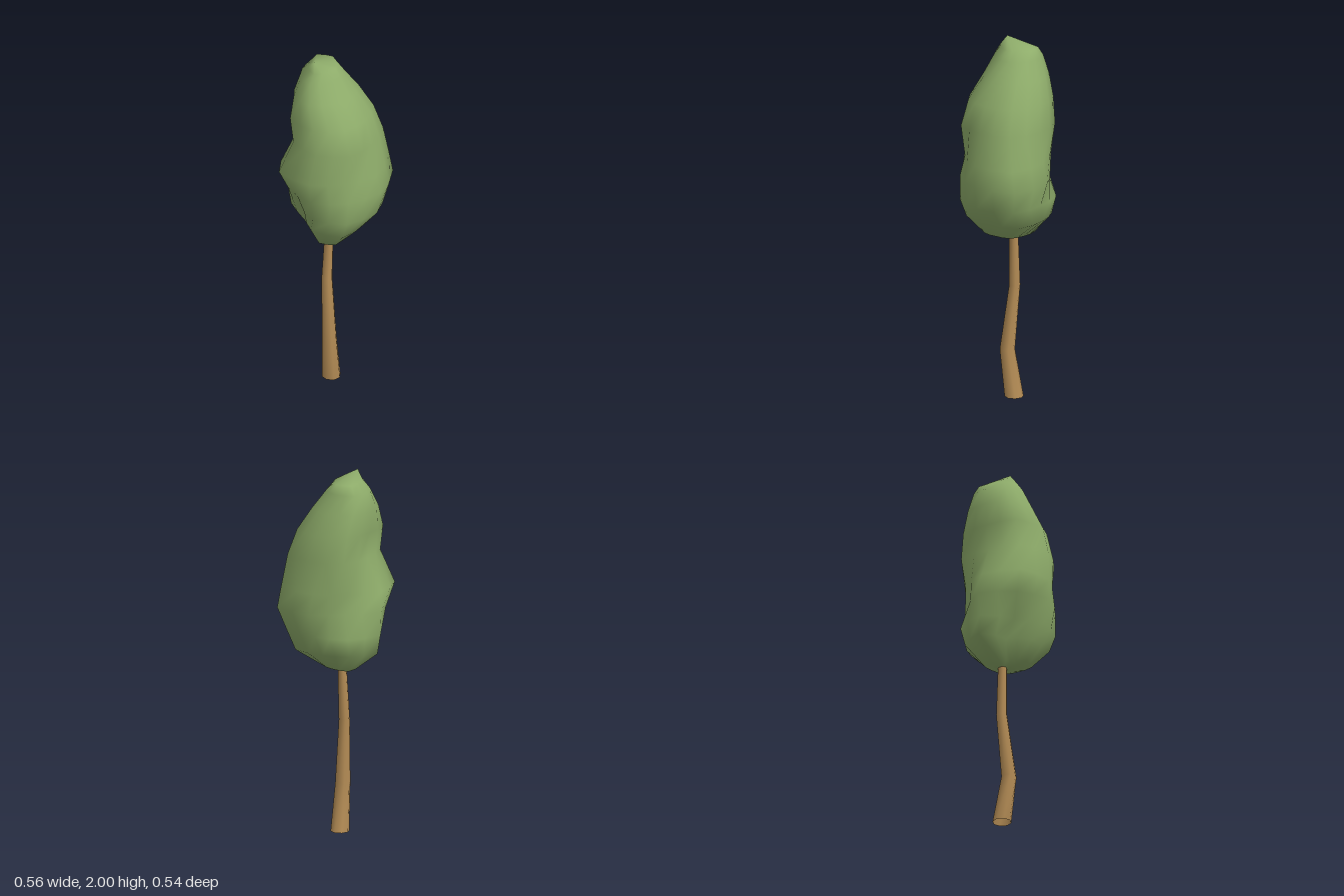
import * as THREE from 'three';

// Skin over a stack of point rings; an end with a tip is fanned shut, otherwise left open.
function loft(rings, bottom, top) {
  const sides = rings[0].length;
  const pos = [...rings.flat(2), ...(bottom ?? []), ...(top ?? [])];
  const low = rings.length * sides;
  const last = low - sides;
  const index = [];
  for (let i = 0; i < sides; i++) {
    const j = (i + 1) % sides;
    for (let a = i, b = j; a < last; a += sides, b += sides) {
      index.push(a, a + sides, b, b, a + sides, b + sides);
    }
    if (bottom) index.push(low, i, j);
    if (top) index.push(low + 1, last + j, last + i);
  }
  const geo = new THREE.BufferGeometry();
  geo.setAttribute('position', new THREE.Float32BufferAttribute(pos, 3));
  geo.setIndex(index);
  geo.computeVertexNormals();
  return geo;
}

// Ring of points around (cx, cz), evenly spaced, one radius per point.
const ring = (y, cx, cz, radii) =>
  radii.map((r, i) => {
    const a = (i / radii.length) * Math.PI * 2;
    return [cx + r * Math.cos(a), y, cz + r * Math.sin(a)];
  });

// Crown ring from its reach in eight directions, starting at +x and turning to +z.
function crownRing([y, ...reach]) {
  const cx = (reach[0] - reach[4]) / 2;
  const cz = (reach[2] - reach[6]) / 2;
  const radii = reach.map((d, i) => {
    const a = (i * Math.PI) / 4;
    return d - cx * Math.cos(a) - cz * Math.sin(a);
  });
  // a slightly sunken point between each pair of directions
  return ring(y, cx, cz, radii.flatMap((r, i) => [r, 0.485 * (r + radii[(i + 1) % 8])]));
}

export function createModel() {
  const group = new THREE.Group();
  group.name = 'tree';
  const bark = new THREE.MeshStandardMaterial({ color: 0xb58d56, side: THREE.DoubleSide });
  bark.name = 'bark brown';
  const leaf = new THREE.MeshStandardMaterial({ color: 0x8eac6a });
  leaf.name = 'leaf green';

  // Crooked, tapering open trunk: y, x, z, radius
  const trunkRings = [
    [0, -0.03, -0.02, 0.051],
    [0.26, -0.021, 0.019, 0.041],
    [0.62, -0.05, -0.008, 0.03],
    [0.94, -0.037, -0.011, 0.024],
  ].map(([y, x, z, r]) => ring(y, x, z, Array(8).fill(r)));
  const trunk = new THREE.Mesh(loft(trunkRings), bark);
  trunk.name = 'trunk';

  // Lumpy upright crown, pinched on one side below its leaning tip:
  // y, then reach to +x, +x+z, +z, -x+z, -x, -x-z, -z, +x-z
  const crownRings = [
    [0.915, 0.07, 0.12, 0.13, 0.08, 0.12, 0.15, 0.09, 0.08],
    [1.02, 0.18, 0.22, 0.185, 0.14, 0.268, 0.24, 0.205, 0.235],
    [1.12, 0.26, 0.256, 0.232, 0.185, 0.277, 0.262, 0.222, 0.275],
    [1.25, 0.28, 0.257, 0.268, 0.26, 0.285, 0.215, 0.27, 0.328],
    [1.36, 0.26, 0.228, 0.272, 0.312, 0.276, 0.235, 0.24, 0.306],
    [1.54, 0.228, 0.252, 0.247, 0.235, 0.192, 0.254, 0.24, 0.268],
    [1.68, 0.19, 0.21, 0.23, 0.247, 0.207, 0.247, 0.222, 0.22],
    [1.8, 0.11, 0.12, 0.187, 0.217, 0.22, 0.228, 0.172, 0.147],
    [1.9, 0.044, 0.06, 0.143, 0.17, 0.192, 0.198, 0.128, 0.072],
    [1.95, 0.006, 0.025, 0.105, 0.13, 0.14, 0.168, 0.108, 0.025],
  ].map(crownRing);
  const crown = new THREE.Mesh(loft(crownRings, [-0.03, 0.895, -0.01], [-0.083, 2, 0.07]), leaf);
  crown.name = 'crown';

  group.add(trunk, crown);
  return group;
}
